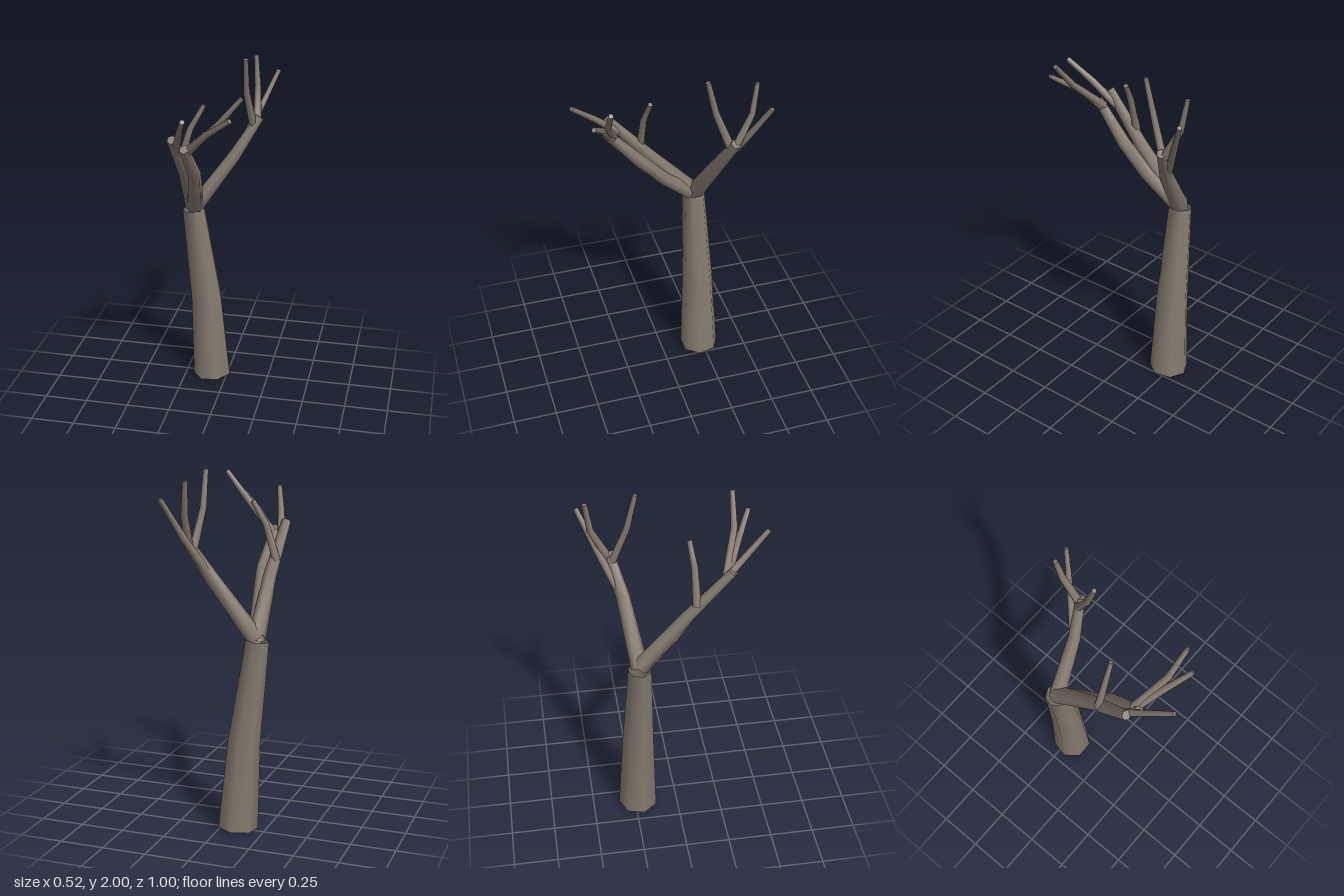
import * as THREE from 'three';

const bark = new THREE.MeshStandardMaterial({ color: 0x857a6e, roughness: 0.9, side: THREE.DoubleSide });

// Tapering limb: mitred rings along a path of [x, y, z, radius] points
function limb(name, path, sides, capped) {
  const pts = path.map(p => new THREE.Vector3(p[0], p[1], p[2]));
  const pos = [], index = [];
  pts.forEach((p, i) => {
    const dirIn = p.clone().sub(pts[Math.max(i - 1, 0)]).normalize();
    const dirOut = pts[Math.min(i + 1, pts.length - 1)].clone().sub(p).normalize();
    const t = dirIn.add(dirOut).normalize();
    const u = new THREE.Vector3(0, 0, -1);
    u.addScaledVector(t, -u.dot(t)).normalize();
    const v = new THREE.Vector3().crossVectors(t, u);
    for (let k = 0; k < sides; k++) {
      const a = (k / sides) * Math.PI * 2;
      const q = p.clone()
        .addScaledVector(u, Math.cos(a) * path[i][3])
        .addScaledVector(v, Math.sin(a) * path[i][3]);
      pos.push(q.x, q.y, q.z);
      if (i > 0) {
        const b = i * sides + k, c = i * sides + (k + 1) % sides;
        index.push(b - sides, c - sides, c, b - sides, c, b);
      }
    }
  });
  // Flat end cap with its own corners, so its edge stays sharp
  if (capped) {
    const first = pos.length / 3;
    pos.push(...pos.slice(-sides * 3));
    for (let k = 1; k < sides - 1; k++) index.push(first, first + k, first + k + 1);
  }
  const geo = new THREE.BufferGeometry();
  geo.setAttribute('position', new THREE.Float32BufferAttribute(pos, 3));
  geo.setIndex(index);
  geo.computeVertexNormals();
  const mesh = new THREE.Mesh(geo, bark);
  mesh.name = name;
  return mesh;
}

// Thin twig with three path points
function twig(name, a, b, c) {
  return limb(name, [[...a, 0.024], [...b, 0.019], [...c, 0.014]], 6, true);
}

export function createModel() {
  const tree = new THREE.Group();
  tree.name = 'bareTree';

  // Hollow leaning trunk
  tree.add(limb('trunk', [
    [-0.09, 0.012, -0.232, 0.115],
    [-0.122, 0.52, -0.225, 0.093],
    [-0.195, 1.095, -0.215, 0.066],
  ], 7, false));

  // Three main branches
  tree.add(limb('backBranch', [
    [-0.19, 1.1, -0.215, 0.05],
    [0.035, 1.42, -0.272, 0.039],
    [0.165, 1.635, -0.33, 0.028],
  ], 6, true));
  tree.add(limb('upperFrontBranch', [
    [-0.195, 1.11, -0.215, 0.05],
    [-0.18, 1.41, 0.05, 0.038],
    [-0.197, 1.675, 0.28, 0.027],
  ], 6, true));
  tree.add(limb('lowerFrontBranch', [
    [-0.19, 1.1, -0.21, 0.048],
    [-0.14, 1.27, -0.02, 0.041],
    [-0.112, 1.43, 0.12, 0.037],
    [-0.125, 1.635, 0.305, 0.027],
  ], 6, true));

  // Twigs on the back branch
  tree.add(twig('backTwigOuter', [0.06, 1.47, -0.3], [0.155, 1.66, -0.395], [0.245, 1.87, -0.49]));
  tree.add(twig('backTwigFront', [0.13, 1.59, -0.315], [0.105, 1.8, -0.235], [0.108, 2.0, -0.185]));
  tree.add(twig('backTwigRear', [0.15, 1.61, -0.335], [0.135, 1.79, -0.425], [0.12, 1.96, -0.45]));

  // Twigs on the front branches
  tree.add(twig('upperTwigShort', [-0.2, 1.48, 0.095], [-0.14, 1.68, 0.09], [-0.068, 1.81, 0.072]));
  tree.add(twig('upperTwigLong', [-0.195, 1.575, 0.2], [-0.14, 1.73, 0.36], [-0.088, 1.845, 0.49]));
  tree.add(twig('lowerTwigHigh', [-0.125, 1.61, 0.265], [0.06, 1.79, 0.335], [0.185, 1.94, 0.345]));
  tree.add(twig('lowerTwigLow', [-0.115, 1.61, 0.275], [0.0, 1.735, 0.345], [0.14, 1.845, 0.425]));

  return tree;
}
